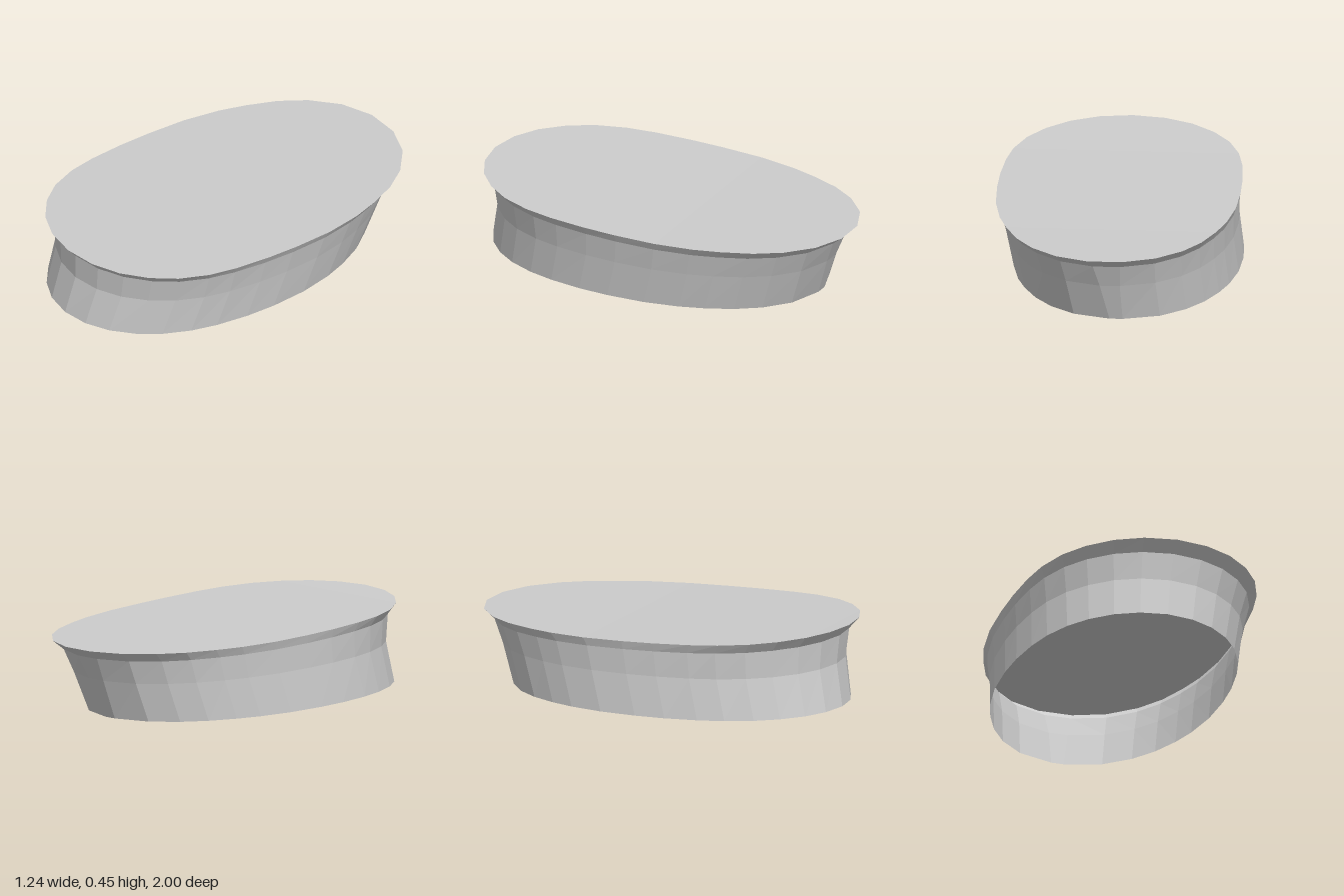
import * as THREE from 'three';

// Half outline seen from above, front to back: [x / half width, z / half length]
const HALF = [
  [0, 1], [0.27, 0.975], [0.5, 0.91], [0.69, 0.81], [0.83, 0.69], [0.925, 0.54],
  [0.97, 0.39], [0.995, 0.2], [1, 0.02], [0.985, -0.2], [0.93, -0.4], [0.86, -0.54],
  [0.76, -0.69], [0.62, -0.82], [0.41, -0.935], [0.145, -1],
];
// Full loop: the half outline plus its mirrored points
const OUTLINE = [...HALF, ...HALF.slice(1).reverse().map(([x, z]) => [-x, z])];
const N = OUTLINE.length;

// Rings from the open bottom to the rim. x and z are extents, y is height at
// back / middle / front, oval blends the outline towards a true ellipse.
const RINGS = [
  { x: [-0.623, 0.537], z: [-0.82, 0.985], y: [0, 0.016, 0.032], oval: 0.6 },
  { x: [-0.602, 0.57], z: [-0.89, 0.94], y: [0.2, 0.222, 0.245], oval: 0.4 },
  { x: [-0.603, 0.597], z: [-0.94, 0.95], y: [0.32, 0.35, 0.39], oval: 0.2 },
  { x: [-0.615, 0.62], z: [-1, 1], y: [0.368, 0.394, 0.448], oval: 0 },
];

function ringPoints({ x, z, y, oval }) {
  return OUTLINE.map(([u, v]) => {
    const ellipse = Math.sign(u) * Math.sqrt(Math.max(0, 1 - v * v));
    const w = THREE.MathUtils.lerp(u, ellipse, oval);
    const tilt = (y[2] - y[0]) / 2, bend = (y[2] + y[0]) / 2 - y[1];
    return [
      (x[0] + x[1]) / 2 + (w * (x[1] - x[0])) / 2,
      y[1] + tilt * v + bend * v * v,
      (z[0] + z[1]) / 2 + (v * (z[1] - z[0])) / 2,
    ];
  });
}

function makeMesh(name, points, index) {
  const geometry = new THREE.BufferGeometry();
  geometry.setAttribute('position', new THREE.Float32BufferAttribute(points.flat(), 3));
  geometry.setIndex(index);
  const flat = geometry.toNonIndexed();
  flat.computeVertexNormals();
  const material = new THREE.MeshStandardMaterial({
    color: 0xcccccc, flatShading: true, side: THREE.DoubleSide,
  });
  const mesh = new THREE.Mesh(flat, material);
  mesh.name = name;
  return mesh;
}

export function createModel() {
  const group = new THREE.Group();
  group.name = 'ovalShell';
  const rings = RINGS.map(ringPoints);

  // Thin flared wall, open underneath
  const wall = [];
  for (let r = 0; r < rings.length - 1; r++) {
    for (let i = 0; i < N; i++) {
      const a = r * N + i, b = r * N + ((i + 1) % N);
      wall.push(a, b, b + N, a, b + N, a + N);
    }
  }
  group.add(makeMesh('wall', rings.flat(), wall));

  // Gently curved lid, in strips running from side to side
  const lid = [0, 1, N - 1];
  for (let k = 1; k < HALF.length - 1; k++) {
    lid.push(k, k + 1, N - k - 1, k, N - k - 1, N - k);
  }
  group.add(makeMesh('lid', rings[rings.length - 1], lid));

  return group;
}
